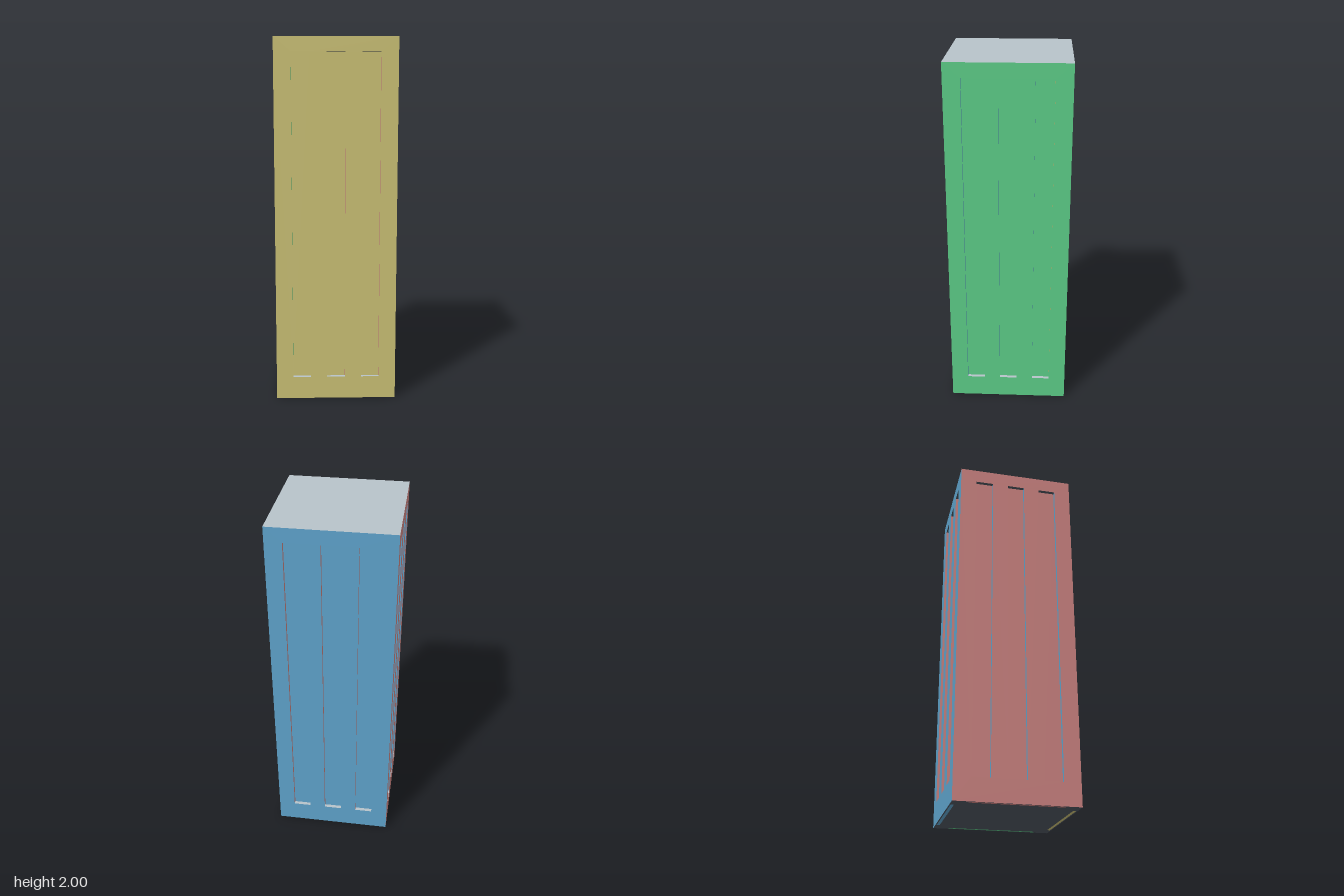
import * as THREE from 'three';

const H = 2, R = 0.333, DEPTH = 0.02;            // tower height, half width, groove depth
const GROOVE = { half: 0.05, y0: 0.125, y1: 1.92, centres: [-0.19, 0, 0.19] };
const STRIP = { half: 0.248, z0: 0.309, z1: 0.326 }; // slots under the base

const material = (name, color) => {
  const m = new THREE.MeshStandardMaterial({ color });
  m.name = name;
  return m;
};

// Closed rectangle as a shape or a hole
const rect = (Type, x0, y0, x1, y1) => new Type([
  [x0, y0], [x1, y0], [x1, y1], [x0, y1],
].map(([x, y]) => new THREE.Vector2(x, y)));

export function createModel() {
  const model = new THREE.Group();
  model.name = 'groovedTower';

  // Every surface takes the colour of the direction it faces
  const sides = [
    material('straw yellow', 0xc8be73),  // front
    material('leaf green', 0x5bca85),    // left
    material('sky blue', 0x5da1c9),      // back
    material('dusty red', 0xcb8280),     // right
  ];
  const top = material('pale grey', 0xb7c2c9);
  const under = material('dark slate', 0x4c535e);

  const add = (parent, name, geometry, mat, x = 0, y = 0, z = 0) => {
    const mesh = new THREE.Mesh(geometry, mat);
    mesh.name = name;
    mesh.position.set(x, y, z);
    parent.add(mesh);
  };

  const { half, y0, y1, centres } = GROOVE;
  const width = 2 * half, height = y1 - y0, mid = (y0 + y1) / 2;

  // Side face with three groove openings
  const face = rect(THREE.Shape, -R, 0, R, H);
  centres.forEach((x) => face.holes.push(rect(THREE.Path, x - half, y0, x + half, y1)));
  const faceGeo = new THREE.ShapeGeometry(face);

  // Groove surfaces
  const floorGeo = new THREE.PlaneGeometry(width, height);
  const wallPlus = new THREE.PlaneGeometry(DEPTH, height).rotateY(Math.PI / 2);
  const wallMinus = new THREE.PlaneGeometry(DEPTH, height).rotateY(-Math.PI / 2);
  const sill = new THREE.PlaneGeometry(width, DEPTH).rotateX(-Math.PI / 2);
  const lintel = new THREE.PlaneGeometry(width, DEPTH).rotateX(Math.PI / 2);
  const stripGeo = new THREE.PlaneGeometry(2 * STRIP.half, STRIP.z1 - STRIP.z0).rotateX(Math.PI / 2);

  ['front', 'left', 'back', 'right'].forEach((label, k) => {
    const side = new THREE.Group();
    side.name = label + 'Side';
    side.rotation.y = k * Math.PI / 2;
    const own = sides[k], plus = sides[(k + 1) % 4], minus = sides[(k + 3) % 4];
    const zc = R - DEPTH / 2;

    add(side, 'panel', faceGeo, own, 0, 0, R);
    for (const x of centres) {
      add(side, 'grooveFloor', floorGeo, own, x, mid, R - DEPTH);
      add(side, 'grooveWall', wallPlus, plus, x - half, mid, zc);
      add(side, 'grooveWall', wallMinus, minus, x + half, mid, zc);
      add(side, 'grooveSill', sill, top, x, y0, zc);
      add(side, 'grooveLintel', lintel, under, x, y1, zc);
    }
    add(side, 'baseStrip', stripGeo, own, 0, 0, (STRIP.z0 + STRIP.z1) / 2);
    model.add(side);
  });

  // Roof
  add(model, 'roof', new THREE.PlaneGeometry(2 * R, 2 * R).rotateX(-Math.PI / 2), top, 0, H, 0);

  // Underside, cut out where the coloured strips sit
  const base = rect(THREE.Shape, -R, -R, R, R);
  const { half: s, z0, z1 } = STRIP;
  base.holes.push(
    rect(THREE.Path, -s, z0, s, z1), rect(THREE.Path, -s, -z1, s, -z0),
    rect(THREE.Path, z0, -s, z1, s), rect(THREE.Path, -z1, -s, -z0, s),
  );
  add(model, 'underside', new THREE.ShapeGeometry(base).rotateX(Math.PI / 2), under);

  return model;
}
